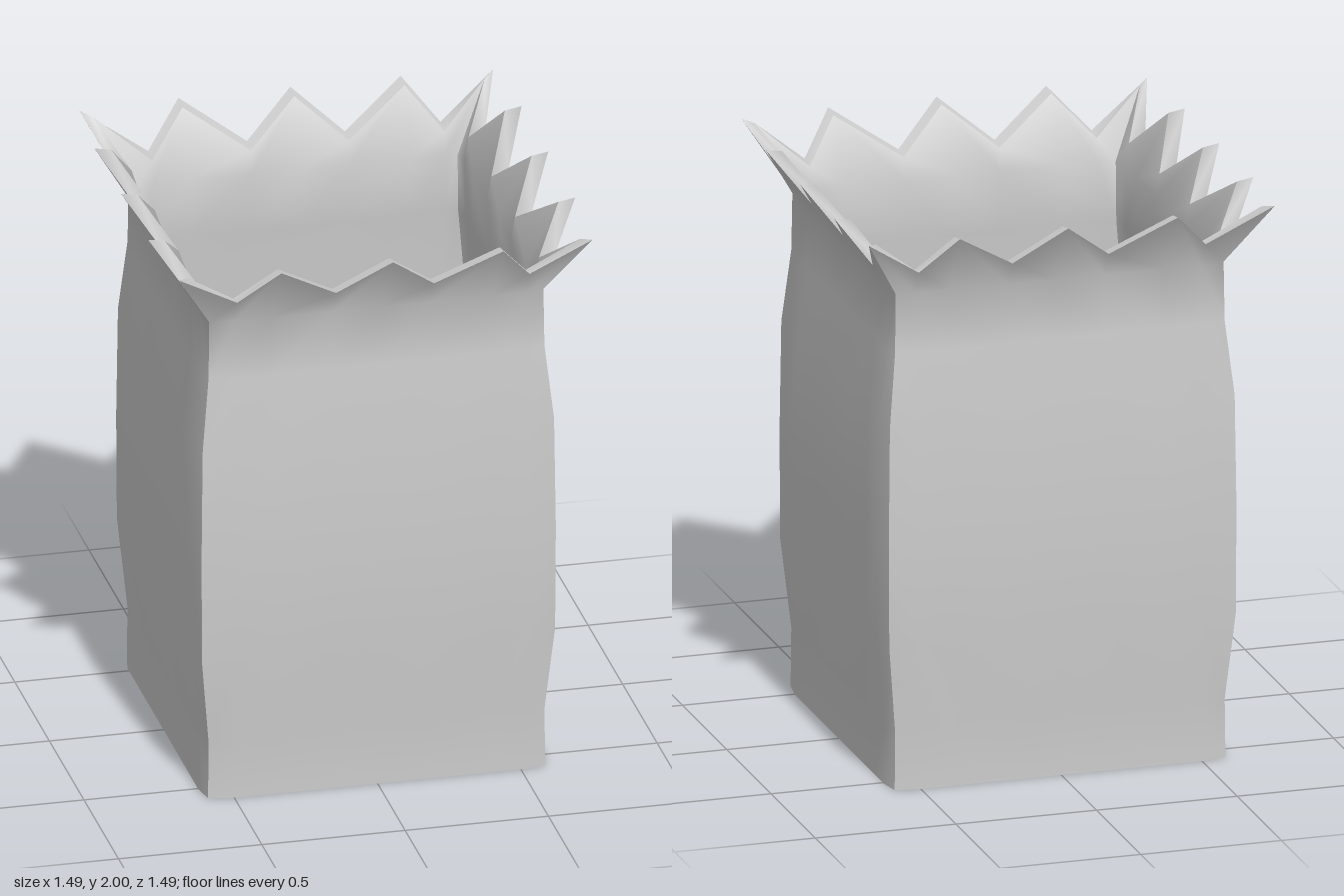
import * as THREE from 'three';

// Columns across one side: corner, then alternating valleys and peaks, corner
const U = [-0.585, -0.5, -0.37, -0.155, 0.02, 0.187, 0.405, 0.52, 0.585];
const LAST = U.length - 1;

// Body rows: [height, half width at the middle of a side]
const BODY = [[0, 0.602], [0.21, 0.6], [0.52, 0.63], [0.9, 0.632], [1.3, 0.627], [1.56, 0.6], [1.77, 0.597]];

// Four sides: where (along, out) goes on the ground, and whether it mirrors
const SIDES = [
  { name: 'front', place: (u, y, d) => [u, y, d], mirrored: false },
  { name: 'back', place: (u, y, d) => [u, y, -d], mirrored: true },
  { name: 'right', place: (u, y, d) => [-d, y, -u], mirrored: true },
  { name: 'left', place: (u, y, d) => [d, y, -u], mirrored: false },
];

const isCorner = i => i === 0 || i === LAST;

// One row of the body, inset by the paper thickness; sides bow out slightly from the corners
function bodyRow(y, half, inset) {
  return U.map((u, i) => {
    const c = half - 0.014 - inset;
    return isCorner(i) ? [Math.sign(u) * c, y, c] : [u, y, half - inset];
  });
}

// The zigzag top edge: tall flared peaks and corners, lower valleys
function rimRow(inner) {
  return U.map((u, i) => {
    const y = (i % 2 === 0 ? 2 : 1.86) - (inner ? 0.01 : 0);
    if (isCorner(i)) {
      const c = inner ? 0.685 : 0.722;
      return [Math.sign(u) * c, y, c];
    }
    return [u, y, (i % 2 === 0 ? 0.745 : 0.645) - (inner ? 0.058 : 0)];
  });
}

// Smooth surface through rows of points on one side
function patch(rows, side, flip) {
  const pos = [], index = [];
  rows.forEach(row => row.forEach(p => pos.push(...side.place(...p))));
  const n = U.length;
  for (let r = 0; r < rows.length - 1; r++) {
    for (let i = 0; i < LAST; i++) {
      const a = r * n + i, b = a + 1, c = a + n, d = c + 1;
      const tris = [[a, b, d], [a, d, c]];
      for (const [p, q, s] of tris) index.push(...(flip !== side.mirrored ? [p, s, q] : [p, q, s]));
    }
  }
  const g = new THREE.BufferGeometry();
  g.setAttribute('position', new THREE.Float32BufferAttribute(pos, 3));
  g.setIndex(index);
  g.computeVertexNormals();
  return g;
}

export function createModel() {
  const bag = new THREE.Group();
  bag.name = 'paperBag';
  const material = new THREE.MeshStandardMaterial({ color: 0xcccccc });

  const outer = [...BODY.map(([y, h]) => bodyRow(y, h, 0)), rimRow(false)];
  const inner = [...BODY.map(([y, h]) => bodyRow(Math.max(y, 0.025), h, 0.024)), rimRow(true)];
  const centre = y => U.map(() => [0, y, 0]);

  for (const side of SIDES) {
    const group = new THREE.Group();
    group.name = side.name + 'Side';
    const add = (name, rows, flip = false) => {
      const mesh = new THREE.Mesh(patch(rows, side, flip), material);
      mesh.name = name;
      group.add(mesh);
    };
    add('outerWall', outer);
    add('innerWall', inner, true);
    // Thickness of the zigzag edge
    add('rim', [outer.at(-1), inner.at(-1)]);
    // A quarter of the underside and of the inside floor
    add('base', [centre(0), outer[0]]);
    add('floor', [centre(0.025), inner[0]], true);
    bag.add(group);
  }
  return bag;
}
